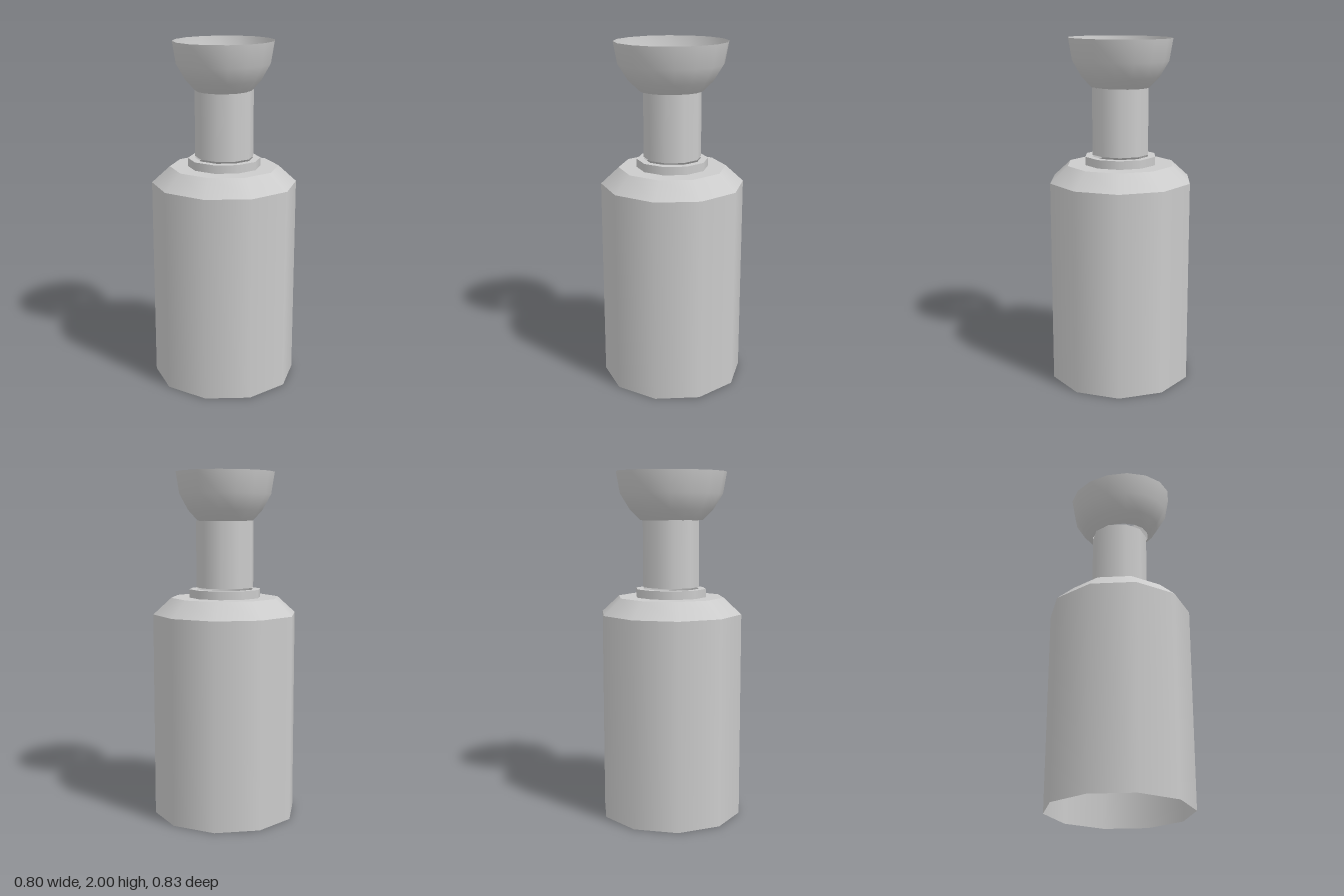
import * as THREE from 'three';

// Thin, open-ended shell turned around y; the first corner points to the front
function turned(name, points, sides, material, depthScale = 1, z = 0) {
  const profile = points.map(([r, y]) => new THREE.Vector2(r, y));
  const mesh = new THREE.Mesh(new THREE.LatheGeometry(profile, sides), material);
  mesh.name = name;
  mesh.scale.z = depthScale;
  mesh.position.z = z;
  return mesh;
}

export function createModel() {
  const model = new THREE.Group();
  model.name = 'bottleWithFunnel';
  const grey = new THREE.MeshStandardMaterial({ color: 0xcccccc, side: THREE.DoubleSide });

  // Ten-sided bottle, one strip per part so the rims stay crisp
  const bottle = new THREE.Group();
  bottle.name = 'bottle';
  const strips = [
    ['body', [[0.42, 0], [0.42, 1.19]]],
    ['shoulder', [[0.42, 1.19], [0.315, 1.285]]],
    ['shoulderTop', [[0.315, 1.285], [0.21, 1.285]]],
    ['collar', [[0.21, 1.285], [0.21, 1.333]]],
    ['collarTop', [[0.21, 1.333], [0.168, 1.333]]],
    ['neck', [[0.168, 1.343], [0.168, 1.727]]],
  ];
  for (const [name, points] of strips) bottle.add(turned(name, points, 10, grey, 0.985));
  model.add(bottle);

  // Slightly oval open bowl on top of the neck
  const bowl = [[0.16, 1.725], [0.215, 1.785], [0.265, 1.875], [0.285, 2]];
  model.add(turned('bowl', bowl, 16, grey, 1.135, 0.006));

  return model;
}
